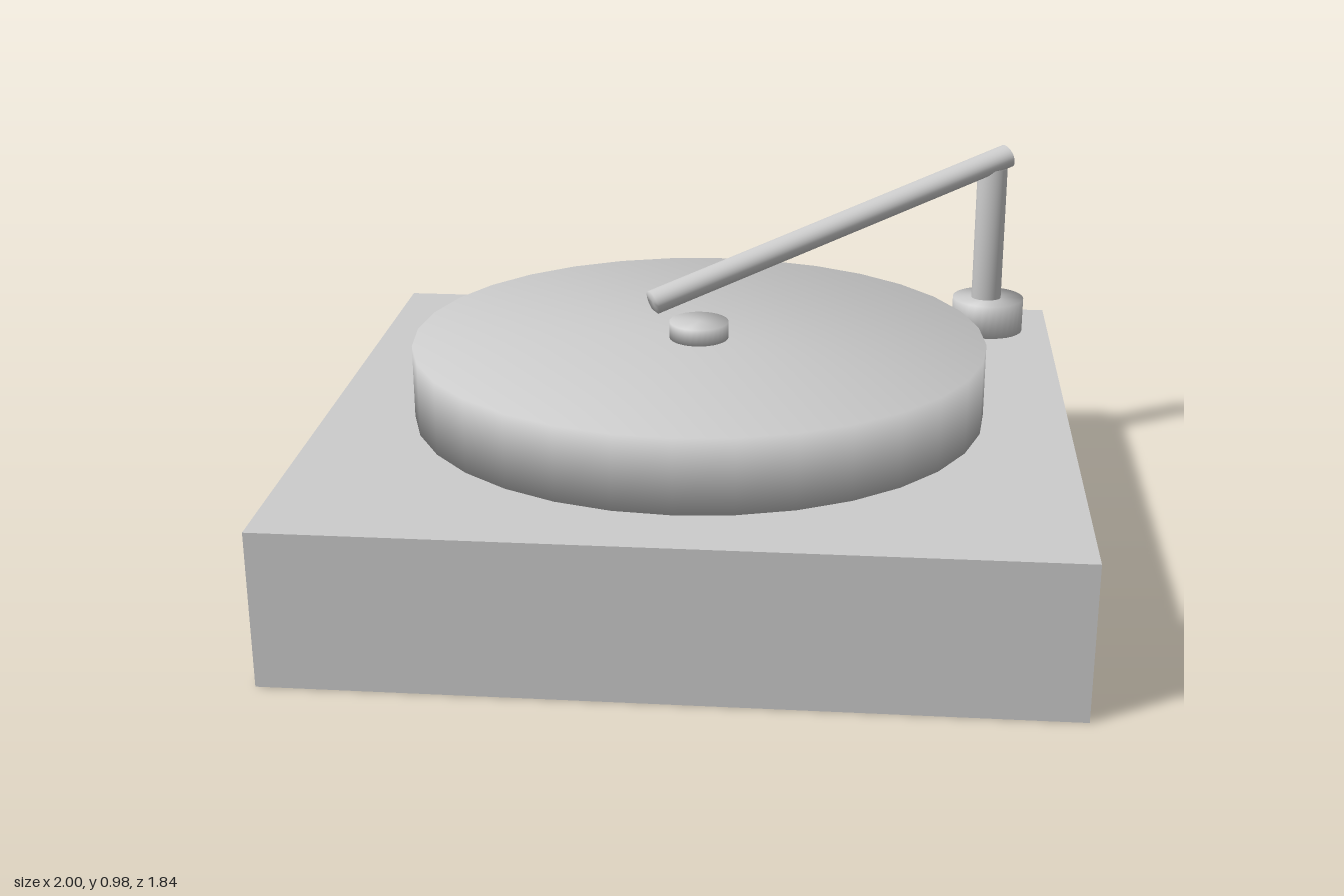
import * as THREE from 'three';
import { mergeVertices } from 'three/addons/utils/BufferGeometryUtils.js';

const material = new THREE.MeshStandardMaterial({ color: 0xcccccc });

// Unit cylinder with normals blended over its rims
function softCylinder(sides) {
  const g = new THREE.CylinderGeometry(1, 1, 1, sides);
  g.deleteAttribute('normal');
  g.deleteAttribute('uv');
  const merged = mergeVertices(g);
  merged.computeVertexNormals();
  return merged;
}

export function createModel() {
  const group = new THREE.Group();
  const add = (name, geometry) => {
    const mesh = new THREE.Mesh(geometry, material);
    mesh.name = name;
    group.add(mesh);
    return mesh;
  };

  // Upright, slightly oval disc or post between two heights
  const upright = (name, x, z, rx, rz, bottom, top, sides = 32) => {
    const g = softCylinder(sides).scale(rx, top - bottom, rz);
    add(name, g).position.set(x, (bottom + top) / 2, z);
  };

  // Plinth
  add('plinth', new THREE.BoxGeometry(2, 0.41, 1.84)).position.y = 0.205;

  // Platter and centre spindle
  upright('platter', 0, 0, 0.773, 0.734, 0.41, 0.61);
  upright('spindle', 0, 0, 0.08, 0.08, 0.61, 0.655);

  // Tonearm pivot and post
  upright('pivotBase', 0.817, -0.73, 0.106, 0.101, 0.41, 0.51);
  upright('armPost', 0.811, -0.73, 0.044, 0.036, 0.51, 0.91);

  // Tonearm sloping down from the post toward the spindle
  const tip = new THREE.Vector3(-0.147, 0.638, -0.2);
  const rear = new THREE.Vector3(0.853, 0.943, -0.755);
  const armShape = softCylinder(32).rotateX(Math.PI / 2).scale(0.04, 0.034, tip.distanceTo(rear));
  const arm = add('tonearm', armShape);
  arm.position.copy(tip).add(rear).multiplyScalar(0.5);
  arm.lookAt(tip);

  return group;
}
